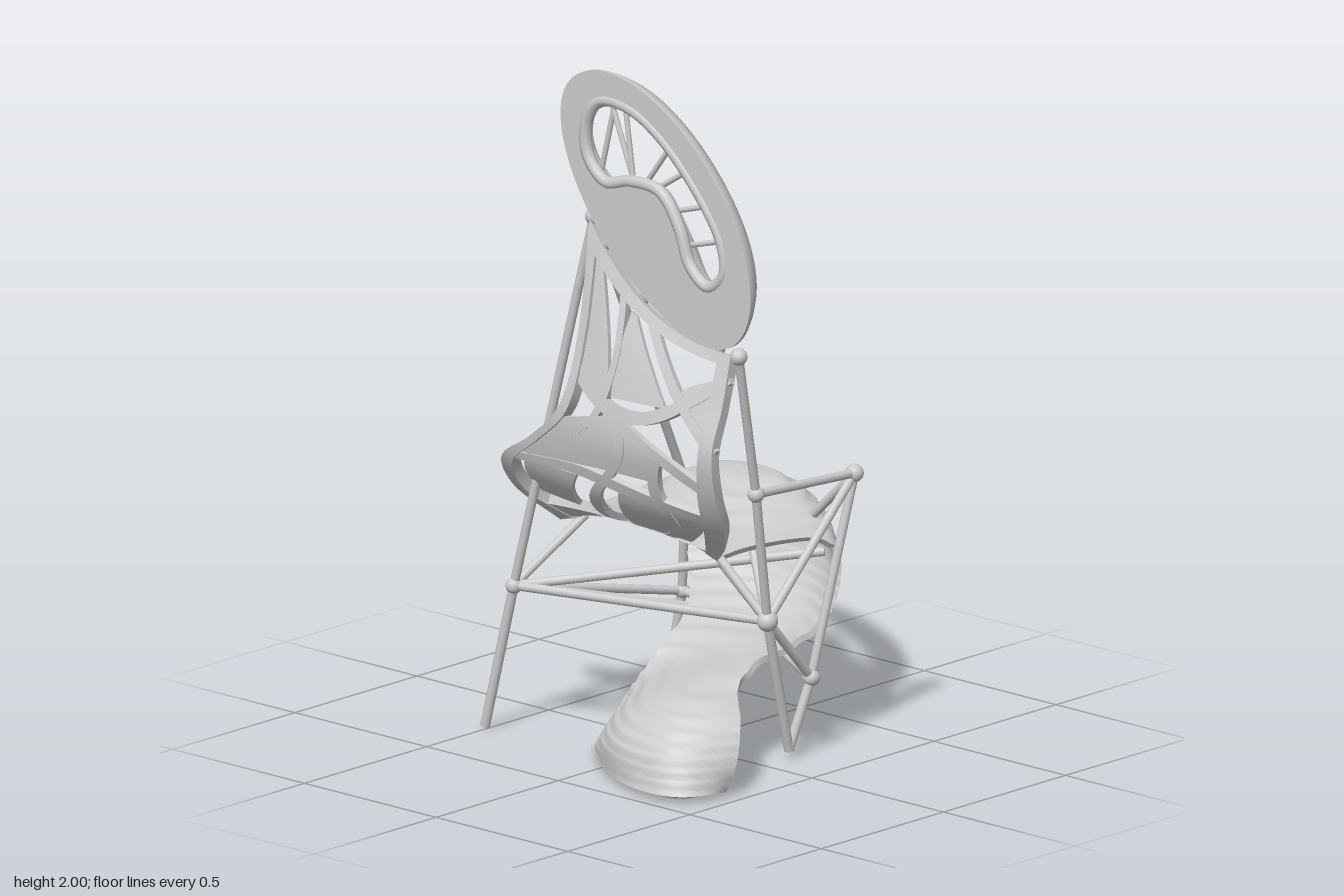
import * as THREE from 'three';
import { toCreasedNormals } from 'three/addons/utils/BufferGeometryUtils.js';

const V = (a) => new THREE.Vector3(...a);
const mat = new THREE.MeshStandardMaterial({ color: 0xcccccc, side: THREE.DoubleSide });

function add(parent, geometry, name) {
  const mesh = new THREE.Mesh(geometry, mat);
  mesh.name = name;
  parent.add(mesh);
  return mesh;
}

// Grid of (rows + 1) x cols points, closed around the columns.
function loft(rows, cols, point, crease = 0.7) {
  const pos = [], index = [];
  for (let i = 0; i <= rows; i++) {
    for (let j = 0; j < cols; j++) {
      pos.push(...point(i, j).toArray());
      if (i === rows) continue;
      const a = i * cols + j, b = i * cols + (j + 1) % cols;
      index.push(a, b, a + cols, b, b + cols, a + cols);
    }
  }
  const g = new THREE.BufferGeometry();
  g.setAttribute('position', new THREE.Float32BufferAttribute(pos, 3));
  g.setIndex(index);
  return toCreasedNormals(g, crease);
}

// Surface through stations of [left, centre, right] points; v counts stations.
// A higher fullness makes the cross-section rounder at its sides.
function surface(stations, fullness) {
  const rails = [0, 1, 2].map((k) => new THREE.CatmullRomCurve3(stations.map((s) => V(s[k]))));
  const last = stations.length - 1;
  const at = (u, v) => {
    const [l, c, r] = rails.map((rail) => rail.getPoint(THREE.MathUtils.clamp(v / last, 0, 1)));
    const bow = c.sub(l.clone().lerp(r, 0.5));
    return l.lerp(r, u).addScaledVector(bow, 1 - Math.abs(2 * u - 1) ** fullness);
  };
  const normal = (u, v) => {
    const du = at(u + 0.01, v).sub(at(u - 0.01, v));
    const dv = at(u, Math.min(v + 0.02, last)).sub(at(u, Math.max(v - 0.02, 0)));
    return du.cross(dv).normalize();
  };
  return { at, normal };
}

// Thick sheet lying on a surface; map(a, b) gives its [u, v], with a, b from 0 to 1.
function sheet(surf, map, n, m, thick) {
  return loft(n + 2, 2 * m + 2, (i, j) => {
    const a = THREE.MathUtils.clamp(i - 1, 0, n) / n;
    const top = j <= m, b = (top ? j : 2 * m + 1 - j) / m;
    const [u, v] = map(a, b);
    const half = i === 0 || i === n + 2 ? 0 : (top ? thick : -thick) / 2;
    return surf.at(u, v).addScaledVector(surf.normal(u, v), half);
  });
}

const curve2 = (pts) => new THREE.SplineCurve(pts.map((p) => new THREE.Vector2(...p)));

function rod(parent, a, b, r = 0.013, name = 'strut') {
  const d = V(b).sub(V(a));
  const mesh = add(parent, new THREE.CylinderGeometry(r, r, d.length(), 12), name);
  mesh.position.copy(V(a)).addScaledVector(d, 0.5);
  mesh.quaternion.setFromUnitVectors(new THREE.Vector3(0, 1, 0), d.normalize());
}

export function createModel() {
  const model = new THREE.Group();
  const group = (name) => {
    const g = new THREE.Group();
    g.name = name;
    model.add(g);
    return g;
  };

  // Seat shell: rear edge, domed seat, roll under, narrow waist, flared foot
  const seat = surface([
    [[-0.41, 0.59, 0.04], [-0.1, 0.65, 0.06], [0.2, 0.59, 0.05]],
    [[-0.385, 0.6, -0.12], [-0.09, 0.67, -0.1], [0.21, 0.6, -0.08]],
    [[-0.365, 0.61, -0.25], [-0.05, 0.71, -0.24], [0.25, 0.6, -0.22]],
    [[-0.36, 0.59, -0.32], [-0.03, 0.725, -0.34], [0.29, 0.57, -0.31]],
    [[-0.345, 0.54, -0.335], [-0.02, 0.67, -0.435], [0.295, 0.51, -0.33]],
    [[-0.29, 0.48, -0.32], [0, 0.55, -0.467], [0.3, 0.44, -0.31]],
    [[-0.21, 0.4, -0.27], [0.04, 0.41, -0.4], [0.3, 0.36, -0.25]],
    [[-0.12, 0.33, -0.15], [0.09, 0.32, -0.26], [0.28, 0.31, -0.15]],
    [[-0.08, 0.26, 0], [0.12, 0.28, -0.08], [0.29, 0.29, 0]],
    [[-0.085, 0.17, 0.1], [0.14, 0.25, 0.12], [0.33, 0.25, 0.12]],
    [[-0.09, 0.09, 0.18], [0.18, 0.21, 0.3], [0.43, 0.19, 0.22]],
    [[-0.095, 0.04, 0.23], [0.24, 0.13, 0.42], [0.46, 0.1, 0.27]],
    [[-0.1, 0.02, 0.25], [0.3, 0.02, 0.46], [0.445, 0.02, 0.3]],
  ], 2.35);
  // Shallow horizontal steps, as in a body built up in layers
  const layered = {
    normal: seat.normal,
    at: (u, v) => {
      const p = seat.at(u, v);
      p.y -= 0.0035 * Math.sin(p.y / 0.03 * Math.PI * 2);
      return p;
    },
  };
  add(model, sheet(layered, (a, b) => [b, a * 12], 220, 44, 0.018), 'seatShell');

  // Backrest surface, from the seat's rear edge up to the slanted top
  const back = surface([
    [[-0.41, 0.6, 0.04], [-0.1, 0.66, 0.06], [0.2, 0.6, 0.05]],
    [[-0.45, 0.72, 0.18], [-0.08, 0.7, 0.2], [0.31, 0.67, 0.15]],
    [[-0.42, 0.82, 0.26], [-0.05, 0.78, 0.29], [0.4, 0.76, 0.24]],
    [[-0.26, 0.92, 0.315], [0.03, 0.9, 0.335], [0.43, 0.87, 0.305]],
    [[-0.13, 1.04, 0.335], [0.12, 1.0, 0.345], [0.44, 1.0, 0.33]],
    [[-0.1, 1.25, 0.29], [0.13, 1.16, 0.31], [0.44, 1.12, 0.29]],
    [[-0.11, 1.56, 0.24], [0.13, 1.335, 0.245], [0.435, 1.27, 0.245]],
  ], 2);
  const backrest = group('backrest');
  for (const side of [0, 0.93])
    add(backrest, sheet(back, (a, b) => [side + b * 0.07, a * 6], 48, 3, 0.035), 'sideFrame');
  add(backrest, sheet(back, (a, b) => [a, b * 0.5], 24, 4, 0.03), 'lowerFrame');
  add(backrest, sheet(back, (a, b) => [a, 5.8 + b * 0.2], 24, 3, 0.035), 'topFrame');

  // Crossing straps, as [u, v] paths
  const straps = [
    [[0, 4.6], [0.4, 4.3], [0.7, 4.6], [1, 5.6]],
    [[0.3, 5.9], [0.33, 5], [0.25, 4], [0.1, 2.5]],
    [[0.5, 5.9], [0.75, 5], [1, 4]],
    [[0.02, 3.6], [0.4, 4.1], [0.7, 3.7], [0.98, 3]],
    [[0.4, 4.3], [0.55, 3.2], [0.5, 2], [0.5, 0.4]],
    [[0.02, 2.2], [0.4, 2.6], [0.98, 2.2]],
    [[0.72, 3.6], [0.75, 2.7], [0.82, 1.5], [0.7, 0.3]],
  ];
  for (const path of straps) {
    const c = curve2(path);
    add(backrest, sheet(back, (a, b) => {
      const p = c.getPoint(a), t = c.getTangent(a), w = b - 0.5;
      const k = Math.hypot(t.x, t.y / 6);
      return [p.x - w * 0.045 * t.y / 6 / k, p.y + w * 0.24 * t.x / k];
    }, 24, 2, 0.02), 'strap');
  }

  // Filled panels between two [u, v] edges
  const panels = [
    [[[0.05, 5.95], [0.05, 5], [0.05, 4.4]], [[0.1, 5.95], [0.26, 5.1], [0.32, 4.4]]],
    [[[0.37, 5.75], [0.34, 5.1], [0.34, 4.5]], [[0.41, 5.75], [0.58, 5.2], [0.7, 4.7]]],
    [[[0.97, 5.6], [0.97, 5], [0.97, 4.3]], [[0.93, 5.5], [0.76, 5], [0.93, 4.3]]],
    [[[0.05, 3.55], [0.4, 4], [0.72, 3.6]], [[0.05, 2.4], [0.4, 2.75], [0.72, 2.9]]],
    [[[0.6, 2.35], [0.78, 2.4], [0.95, 2.2]], [[0.62, 0.6], [0.74, 0.6], [0.85, 0.6]]],
    [[[0.12, 2.25], [0.28, 2.4], [0.4, 2.45]], [[0.18, 1.2], [0.3, 1.2], [0.38, 1.2]]],
  ];
  for (const edges of panels) {
    const [p, q] = edges.map(curve2);
    add(backrest, sheet(back, (a, b) => p.getPoint(a).lerp(q.getPoint(a), b).toArray(), 16, 10, 0.014), 'panel');
  }

  // Headrest: tilted oval, flat outside, bulging inside, with a kidney-shaped hole
  const head = group('headrest');
  const hole = new THREE.CatmullRomCurve3([
    [-0.12, 1.85], [-0.07, 1.91], [0.04, 1.91], [0.16, 1.85], [0.3, 1.72], [0.39, 1.59], [0.4, 1.5],
    [0.34, 1.45], [0.27, 1.5], [0.23, 1.6], [0.16, 1.69], [0.05, 1.7], [-0.05, 1.68], [-0.12, 1.75],
  ].map(([x, y]) => new THREE.Vector3(x, y, 0)), true);
  const profile = [[0, 0.262], [1, 0.262], [1, 0.22], [0.8, 0.205], [0.5, 0.195], [0.25, 0.207], [0.1, 0.23], [0, 0.25]];
  add(head, loft(96, profile.length, (i, j) => {
    const t = (i % 96) / 96, f = t * Math.PI * 2;
    const width = f < Math.PI ? 0.258 : 0.222;
    const p = 0.45 * Math.cos(f) * Math.SQRT1_2, q = width * Math.sin(f) * Math.SQRT1_2;
    const outer = new THREE.Vector3(0.143 - p + q, 1.635 + p + q, 0), inner = hole.getPoint(t);
    const [w, z] = profile[j];
    const bulge = j > 2 && j < 7 ? 0.2 * Math.max(0, outer.distanceTo(inner) - 0.13) * w * (1 - w) * 4 : 0;
    return outer.lerp(inner, w).setZ(z - bulge);
  }), 'headOval');
  const rim = add(head, new THREE.TubeGeometry(hole, 96, 0.018, 8, true), 'holeRim');
  rim.position.z = 0.25;
  const spokes = [
    [-0.09, 1.7, -0.04, 1.9], [0.03, 1.7, -0.05, 1.9], [0.03, 1.7, 0.0, 1.91], [0.09, 1.71, 0.18, 1.83],
    [0.14, 1.7, 0.25, 1.77], [0.2, 1.64, 0.33, 1.68], [0.25, 1.55, 0.39, 1.59],
  ];
  for (const [a, b, c, d] of spokes) rod(head, [a, b, 0.225], [c, d, 0.225], 0.008, 'spoke');
  for (const [a, b, c, d] of [[-0.06, 1.49, -0.01, 1.55], [0.08, 1.35, 0.12, 1.45], [0.37, 1.26, 0.39, 1.32]])
    rod(head, [a, b, 0.24], [c, d, 0.24], 0.014, 'headLink');

  // Strut frame: joints, then the rods between them
  const frame = group('strutFrame');
  const joints = {
    A: [-0.11, 1.565, 0.235, 0.025], B: [0.44, 1.265, 0.235, 0.025], C: [0.375, 0.8, -0.31, 0.026],
    D: [0.35, 0.435, 0.02, 0.03], E: [-0.4, 0.44, 0.25, 0.024], F: [-0.28, 0.33, -0.31, 0.022],
    G: [0.39, 0.83, 0.11, 0.024], H: [0.34, 0.23, -0.17, 0.025], K: [-0.06, 0.31, -0.31, 0.028],
    M: [-0.23, 0.66, -0.27, 0.018],
  };
  for (const [x, y, z, r] of Object.values(joints))
    add(frame, new THREE.SphereGeometry(r, 20, 14), 'joint').position.set(x, y, z);
  const at = (k) => joints[k].slice(0, 3);
  for (const [a, b] of ['AE', 'AM', 'MF', 'BG', 'GC', 'GD', 'CD', 'CH', 'DH', 'DE', 'EF', 'EK', 'HK', 'FK'])
    rod(frame, at(a), at(b));

  // Struts that end on the seat
  const seatStruts = [
    ['C', 0.21, 0.64, -0.31], ['D', 0.18, 0.6, -0.1], ['D', 0.19, 0.6, 0.05],
    ['E', -0.36, 0.6, 0], ['E', 0.26, 0.55, -0.31], ['D', -0.25, 0.52, -0.32],
  ];
  for (const [k, ...p] of seatStruts) rod(frame, at(k), p);

  // Legs: one single, two V-shaped pairs
  const feet = { E: [-0.5, 0.015, 0.26], F: [-0.34, 0.015, -0.31], K: [-0.33, 0.015, -0.31], D: [0.32, 0.03, -0.1], H: [0.32, 0.03, -0.1] };
  for (const [k, foot] of Object.entries(feet)) rod(frame, at(k), foot, 0.014, 'leg');

  return model;
}
